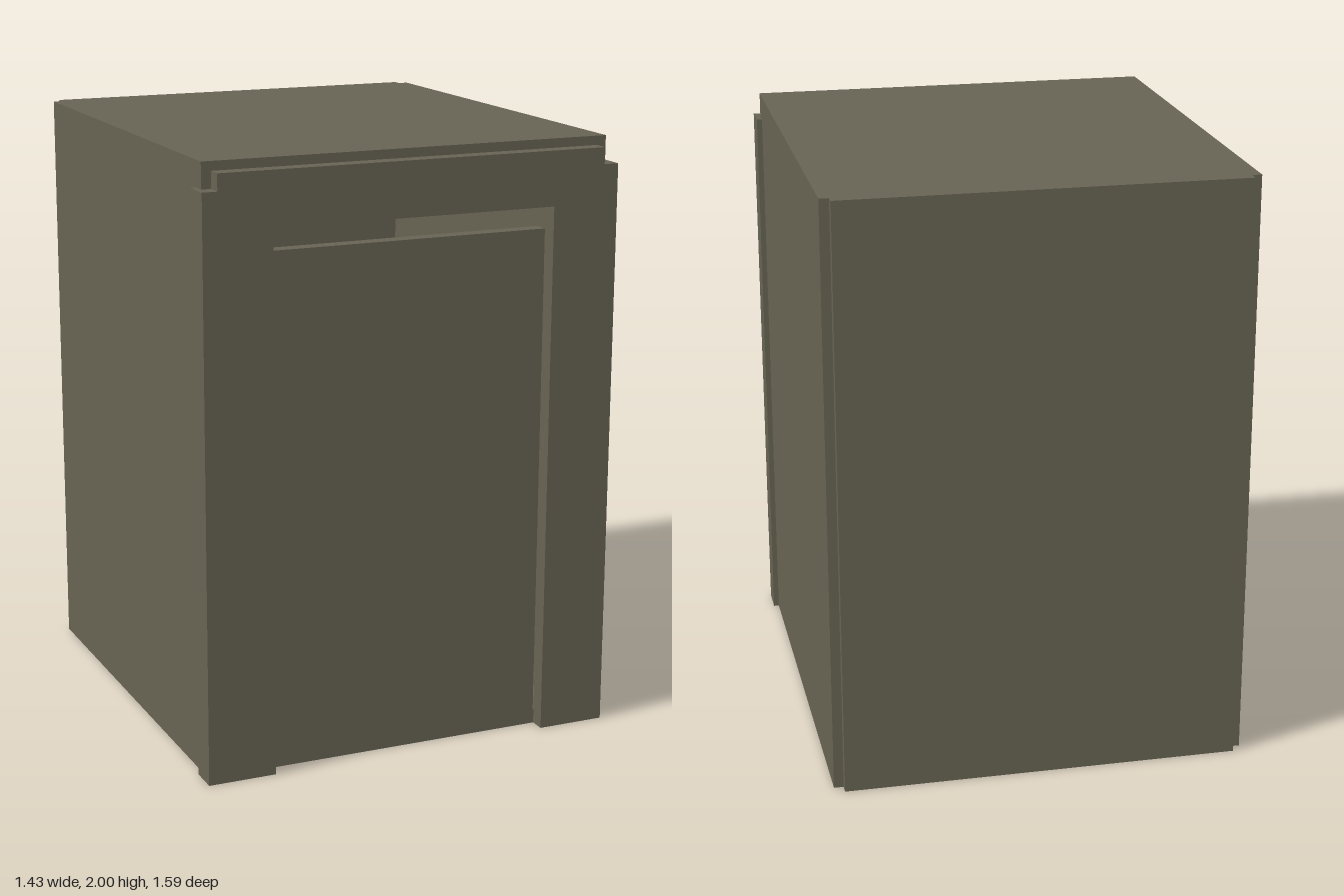
import * as THREE from 'three';

export function createModel() {
  const model = new THREE.Group();
  const oliveGrey = new THREE.MeshStandardMaterial({ color: 0x676353 });

  const add = (name, geometry) => {
    const mesh = new THREE.Mesh(geometry, oliveGrey);
    mesh.name = name;
    model.add(mesh);
    return mesh;
  };
  // Box given by its limits on each axis
  const box = (name, x0, x1, y0, y1, z0, z1) =>
    add(name, new THREE.BoxGeometry(x1 - x0, y1 - y0, z1 - z0)
      .translate((x0 + x1) / 2, (y0 + y1) / 2, (z0 + z1) / 2));
  const outline = (points) => new THREE.Shape(points.map(([x, y]) => new THREE.Vector2(x, y)));

  const side = 0.697, inner = 0.665, wall = 0.05;

  // Floor and roof slabs share a plan with notched back corners
  const plan = outline([
    [-side, -0.74], [side, -0.74], [side, 0.76], [inner, 0.76],
    [inner, 0.793], [-inner, 0.793], [-inner, 0.76], [-side, 0.76],
  ]);
  for (const [name, y] of [['floor', 0], ['roof', 2 - wall]]) {
    const slab = new THREE.ExtrudeGeometry(plan, { depth: wall, bevelEnabled: false });
    add(name, slab.rotateX(-Math.PI / 2).translate(0, y, 0));
  }

  // Walls of the hollow body
  box('backWall', -inner, inner, wall, 2 - wall, -0.793, -0.743);
  box('leftWall', side - wall, side, wall, 2 - wall, -0.76, 0.74);
  box('rightWall', -side, wall - side, wall, 2 - wall, -0.76, 0.74);

  // Front frame around the doorway, open at the bottom
  const frame = outline([
    [-inner, 0], [-0.485, 0], [-0.485, 1.79], [0.485, 1.79],
    [0.485, 0], [inner, 0], [inner, 1.97], [-inner, 1.97],
  ]);
  add('frontFrame', new THREE.ExtrudeGeometry(frame, { depth: 0.053, bevelEnabled: false })
    .translate(0, 0, 0.74));

  // Corner posts wrapping the front edges
  box('leftCornerPost', inner, 0.715, 0, 1.915, 0.693, 0.793);
  box('rightCornerPost', -0.715, -inner, 0, 1.915, 0.693, 0.793);

  // Recessed door with a gap above it
  box('door', -0.482, 0.482, wall, 1.71, 0.69, 0.74);

  return model;
}
